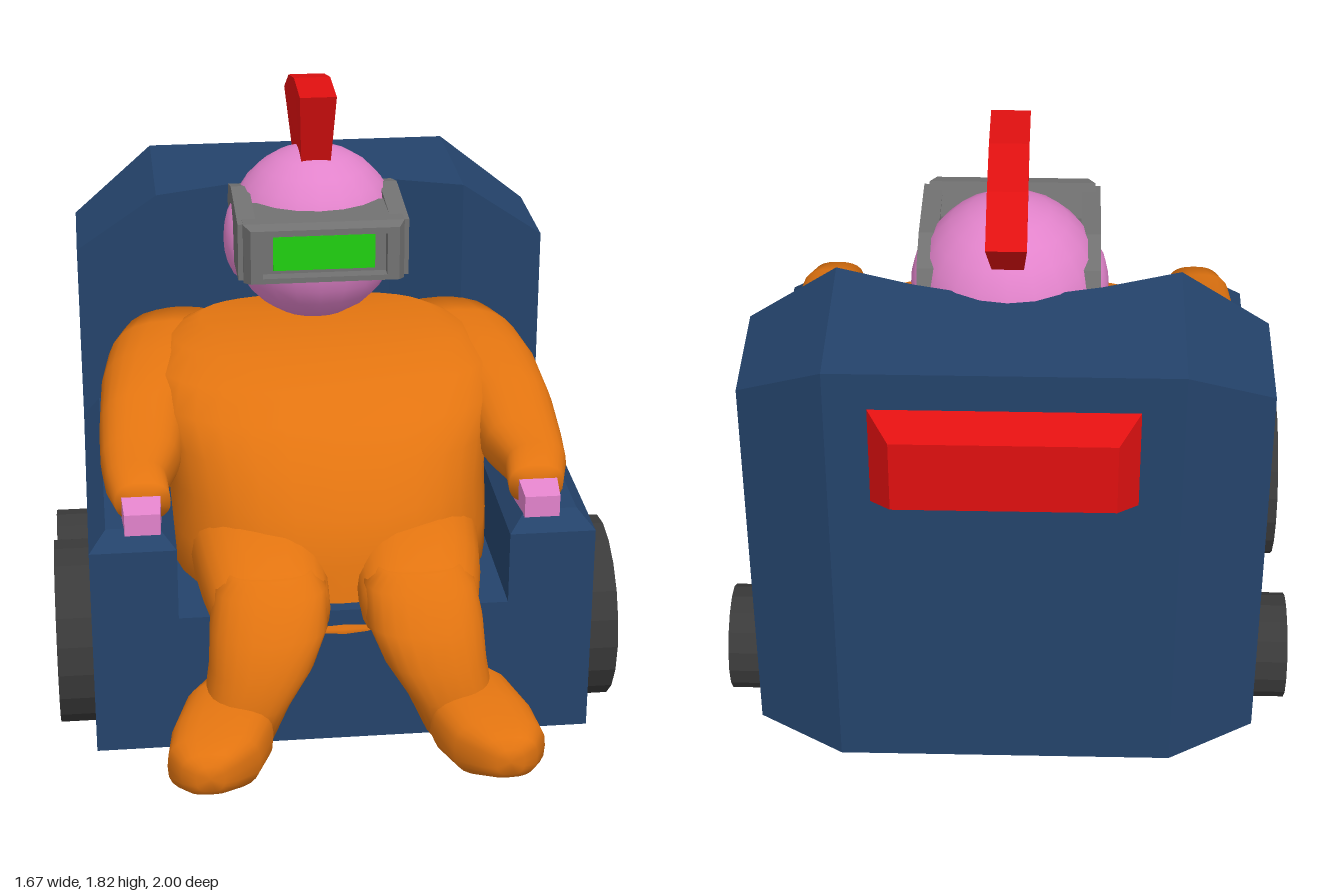
import * as THREE from 'three';

const mat = (name, color) => Object.assign(new THREE.MeshStandardMaterial({ color }), { name });
const blue = mat('chair blue', 0x24436b);
const orange = mat('suit orange', 0xe27410);
const pink = mat('skin pink', 0xe283cb);
const red = mat('red', 0xe01010);
const grey = mat('metal grey', 0x727272);
const green = mat('screen green', 0x20d010);
const black = mat('tyre black', 0x3a3a3a);

const flat = (g) => {
  const f = g.index ? g.toNonIndexed() : g;
  f.computeVertexNormals();
  return f;
};

// Moves every vertex by a rule, keeping hard edges
function shaped(geometry, rule) {
  const g = geometry.index ? geometry.toNonIndexed() : geometry;
  const p = g.attributes.position, v = new THREE.Vector3();
  for (let i = 0; i < p.count; i++) {
    rule(v.fromBufferAttribute(p, i));
    p.setXYZ(i, v.x, v.y, v.z);
  }
  return flat(g);
}

const box = (x0, x1, y0, y1, z0, z1) =>
  new THREE.BoxGeometry(x1 - x0, y1 - y0, z1 - z0).translate((x0 + x1) / 2, (y0 + y1) / 2, (z0 + z1) / 2);

const outline = (pts) => new THREE.Shape(pts.map(([x, y]) => new THREE.Vector2(x, y)));
const extrude = (shape, depth) => new THREE.ExtrudeGeometry(shape, { depth, bevelEnabled: false });

// Plan points [x, z] raised from y0 to y1
const raise = (pts, y0, y1) =>
  extrude(outline(pts.map(([x, z]) => [x, -z])), y1 - y0).rotateX(-Math.PI / 2).translate(0, y0, 0);

// Side points [z, y] extruded across x0..x1
const across = (pts, x0, x1) =>
  extrude(outline(pts.map(([z, y]) => [-z, y])), x1 - x0).rotateY(Math.PI / 2).translate(x0, 0, 0);

// Smooth body through rings [x, y, z, halfWidth, halfOther] lying across the given axis
function loft(rings, axis, power = 2.3, n = 24) {
  const pos = [], idx = [];
  const soft = (t) => Math.sign(t) * Math.abs(t) ** (2 / power);
  for (const [x, y, z, a, b] of rings) {
    for (let j = 0; j < n; j++) {
      const t = (j / n) * Math.PI * 2, u = a * soft(Math.cos(t)), w = b * soft(Math.sin(t));
      pos.push(x + u, axis === 'y' ? y : y + w, axis === 'y' ? z - w : z);
    }
  }
  const last = (rings.length - 1) * n, c = rings.length * n;
  pos.push(...rings[0].slice(0, 3), ...rings[rings.length - 1].slice(0, 3));
  for (let j = 0; j < n; j++) {
    const k = (j + 1) % n;
    for (let r = 0; r < last; r += n) idx.push(r + j, r + k, r + n + k, r + j, r + n + k, r + n + j);
    idx.push(c, k, j, c + 1, last + j, last + k);
  }
  const g = new THREE.BufferGeometry();
  g.setAttribute('position', new THREE.Float32BufferAttribute(pos, 3));
  g.setIndex(idx);
  g.computeVertexNormals();
  return g;
}

export function createModel() {
  const model = new THREE.Group();
  const add = (name, geometry, material) => {
    const m = new THREE.Mesh(geometry, material);
    m.name = name;
    model.add(m);
  };
  const sided = (rings, s) => rings.map(([x, ...rest]) => [x * s, ...rest]);
  const spin = (pts, s, n) =>
    flat(new THREE.LatheGeometry(pts.map(([r, y]) => new THREE.Vector2(r, y)), n).rotateZ((-s * Math.PI) / 2));

  // Chair: seat block and hollowed backrest
  add('seat', box(-0.48, 0.48, 0.07, 0.5, -0.41, 0.56), blue);
  add('backrest', raise([[-0.48, -0.41], [-0.26, -0.49], [-0.1, -0.53], [0.1, -0.53], [0.26, -0.49],
    [0.48, -0.41], [0.48, -0.91], [-0.48, -0.91]], 0.07, 1.45), blue);
  // Rear lamp
  add('rearLamp', shaped(box(-0.37, 0.37, 1.02, 1.34, -1, -0.9), (v) => {
    if (v.z < -0.95) { v.x *= 0.82; v.y = 1.18 + (v.y - 1.18) * 0.69; }
  }), red);

  // Torso
  add('torso', loft([
    [0, 0.38, 0.4, 0.1, 0.14], [0, 0.44, 0.3, 0.3, 0.27], [0, 0.5, 0.05, 0.48, 0.47], [0, 0.62, 0.04, 0.48, 0.49],
    [0, 0.75, 0.01, 0.48, 0.45], [0, 0.87, -0.03, 0.5, 0.42], [0, 0.96, -0.08, 0.53, 0.37],
    [0, 1.03, -0.13, 0.51, 0.32], [0, 1.075, -0.2, 0.45, 0.24], [0, 1.1, -0.26, 0.36, 0.17],
  ], 'y', 2.5, 32), orange);

  for (const s of [1, -1]) {
    // Chair side: chamfered back corner and armrest
    add('backrestCorner', shaped(raise([[0.48 * s, -0.41], [0.73 * s, -0.41], [0.73 * s, -0.76], [0.48 * s, -0.91]],
      0.07, 1.45), (v) => { if (v.y > 1 && Math.abs(v.x) > 0.7) v.y = 1.28; }), blue);
    add('armrestSide', box(...(s > 0 ? [0.48, 0.73] : [-0.73, -0.48]), 0.07, 0.72, -0.41, 0.56), blue);
    add('armrestTop', shaped(box(...(s > 0 ? [0.48, 0.73] : [-0.73, -0.48]), 0.72, 0.775, -0.41, 0.56), (v) => {
      if (v.y > 0.75) { v.x = s * 0.605 + (v.x - s * 0.605) * 0.6; if (v.z > 0) v.z = 0.515; }
    }), blue);

    // Wheels: tyre with a recessed rim and hub cap
    for (const [name, R, z, n] of [['front', 0.277, 0.2, 20], ['rear', 0.157, -0.51, 16]]) {
      add(name + 'Tyre', spin([[0, 0.55], [R, 0.55], [R, 0.835], [0.76 * R, 0.835], [0.72 * R, 0.79]], s, n)
        .translate(0, R + 0.003, z), black);
      add(name + 'Rim', spin([[0.76 * R, 0.8], [0.38 * R, 0.8], [0.35 * R, 0.828], [0.26 * R, 0.828],
        [0.25 * R, 0.81], [0, 0.81]], s, n).translate(0, R + 0.003, z), grey);
    }

    // Arms and hands
    add('arm', loft(sided([
      [0.42, 0.92, -0.42, 0.19, 0.155], [0.45, 0.925, -0.28, 0.2, 0.16], [0.5, 0.915, -0.1, 0.175, 0.15],
      [0.555, 0.885, 0.1, 0.13, 0.125], [0.57, 0.855, 0.25, 0.115, 0.09], [0.585, 0.845, 0.37, 0.09, 0.075],
      [0.57, 0.83, 0.46, 0.08, 0.06],
    ], s), 'z', 2.5), orange);
    add('hand', shaped(box(-0.06, 0.06, 0.76, 0.86, 0.4, 0.54), (v) => {
      if (v.z > 0.5) { v.y = 0.795 + (v.y - 0.81) * 0.65; v.x *= 0.85; }
      v.x += s * 0.575;
    }), pink);

    // Legs and feet
    add('thigh', loft(sided([
      [0.24, 0.59, 0, 0.22, 0.16], [0.23, 0.58, 0.3, 0.2, 0.16], [0.225, 0.56, 0.48, 0.185, 0.14],
      [0.215, 0.53, 0.6, 0.17, 0.12], [0.21, 0.52, 0.67, 0.13, 0.08],
    ], s), 'z', 2.5), orange);
    add('shin', loft(sided([
      [0.33, 0.18, 0.68, 0.11, 0.12], [0.29, 0.3, 0.67, 0.125, 0.13], [0.25, 0.4, 0.65, 0.15, 0.14],
      [0.225, 0.5, 0.61, 0.17, 0.14], [0.215, 0.6, 0.57, 0.16, 0.11], [0.215, 0.64, 0.55, 0.12, 0.08],
    ], s), 'y', 2.4), orange);
    add('foot', loft(sided([
      [0.32, 0.23, 0.56, 0.1, 0.09], [0.345, 0.235, 0.66, 0.13, 0.105], [0.375, 0.23, 0.8, 0.145, 0.1],
      [0.405, 0.22, 0.9, 0.13, 0.09], [0.42, 0.23, 0.97, 0.08, 0.065], [0.42, 0.23, 0.995, 0.04, 0.04],
    ], s), 'z', 2.8), orange);

    // Ears and the visor strap arching over them
    add('ear', new THREE.SphereGeometry(1, 14, 10).scale(0.06, 0.13, 0.12).translate(s * 0.22, 1.34, -0.31), pink);
    add('visorStrap', across([[-0.02, 1.31], [-0.2, 1.3], [-0.23, 1.42], [-0.29, 1.455], [-0.36, 1.44], [-0.41, 1.39],
      [-0.47, 1.4], [-0.44, 1.47], [-0.31, 1.505], [-0.15, 1.495], [-0.02, 1.485]],
      s > 0 ? 0.2 : -0.255, s > 0 ? 0.255 : -0.2), grey);
  }

  // Head and crest
  add('head', new THREE.SphereGeometry(0.265, 20, 14).scale(1, 1.02, 1).translate(0, 1.35, -0.33), pink);
  add('crest', shaped(across([[-0.17, 1.82], [-0.36, 1.826], [-0.54, 1.785], [-0.7, 1.7], [-0.53, 1.53], [-0.25, 1.58]],
    -0.055, 0.055), (v) => { if (v.y < 1.65) v.x *= 0.8; }), red);

  // Visor: shell, hollow front frame and screen
  add('visorShell', box(-0.24, 0.24, 1.305, 1.488, -0.2, -0.01), grey);
  const frame = outline([[-0.24, 1.305], [0.24, 1.305], [0.24, 1.488], [-0.24, 1.488]]);
  frame.holes.push(new THREE.Path([[-0.185, 1.33], [-0.185, 1.46], [0.185, 1.46], [0.185, 1.33]]
    .map(([x, y]) => new THREE.Vector2(x, y))));
  add('visorFrame', shaped(extrude(frame, 0.04).translate(0, 0, -0.01), (v) => {
    if (v.z > 0.02 && Math.abs(v.x) > 0.2) { v.x *= 0.92; v.y = 1.395 + (v.y - 1.395) * 0.9; }
  }), grey);
  add('visorScreen', box(-0.152, 0.152, 1.342, 1.448, -0.01, -0.002), green);

  return model;
}
